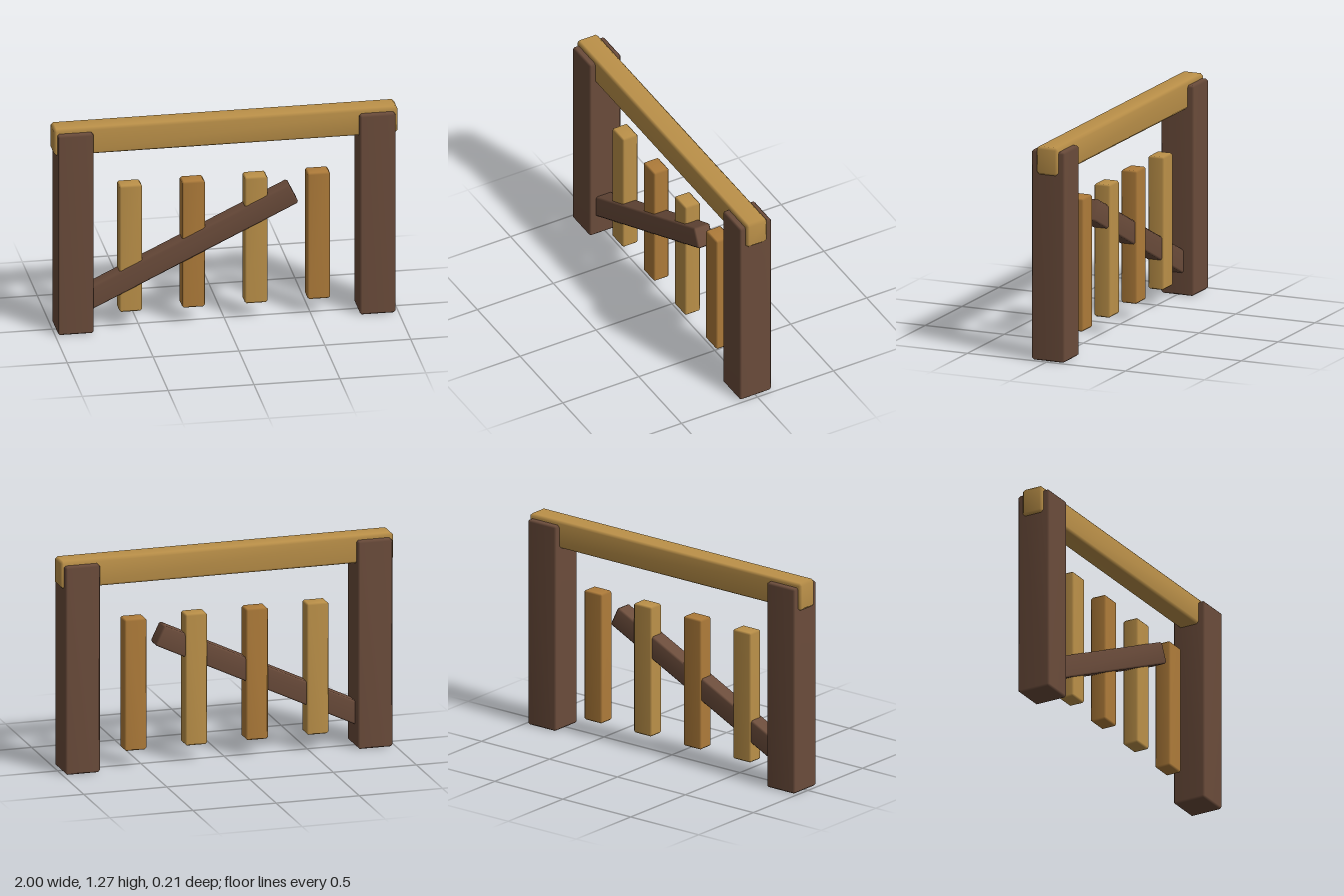
import * as THREE from 'three';
import { ConvexGeometry } from 'three/addons/geometries/ConvexGeometry.js';
import { mergeVertices } from 'three/addons/utils/BufferGeometryUtils.js';

// Box with chamfered edges; area-weighted normals blend the chamfers softly
function chamferBox(w, h, d, c) {
  const pts = [];
  for (const x of [-1, 1]) for (const y of [-1, 1]) for (const z of [-1, 1]) {
    const X = w / 2, Y = h / 2, Z = d / 2;
    pts.push(
      new THREE.Vector3(x * X, y * (Y - c), z * (Z - c)),
      new THREE.Vector3(x * (X - c), y * Y, z * (Z - c)),
      new THREE.Vector3(x * (X - c), y * (Y - c), z * Z));
  }
  const geo = new ConvexGeometry(pts);
  geo.deleteAttribute('normal');
  const merged = mergeVertices(geo, 1e-4);
  merged.computeVertexNormals();
  return merged;
}

export function createModel() {
  const group = new THREE.Group();
  const darkWood = new THREE.MeshStandardMaterial({ color: 0x6b4c3b });
  const lightWood = new THREE.MeshStandardMaterial({ color: 0xbc9149 });
  const amberWood = new THREE.MeshStandardMaterial({ color: 0xaf7c3a });

  function plank(name, size, chamfer, position, material) {
    const mesh = new THREE.Mesh(chamferBox(...size, chamfer), material);
    mesh.name = name;
    mesh.position.set(...position);
    group.add(mesh);
    return mesh;
  }

  // Upright posts at both ends
  for (const [name, s] of [['leftPost', 1], ['rightPost', -1]]) {
    plank(name, [0.207, 1.242, 0.207], 0.011, [s * 0.879, 0.621, 0], darkWood);
  }

  // Top rail running through the posts
  plank('topRail', [2, 0.165, 0.135], 0.015, [0, 1.185, 0], lightWood);

  // Four hanging pickets in alternating wood tones
  for (let i = 0; i < 4; i++) {
    plank('picket' + (i + 1), [0.132, 0.785, 0.1], 0.01,
      [-0.55 + i * 0.365, 0.488, 0], i % 2 ? amberWood : lightWood);
  }

  // Loose diagonal brace, its lower end set into the right post
  const start = new THREE.Vector2(-0.85, 0.167), end = new THREE.Vector2(0.397, 0.767);
  const along = end.clone().sub(start);
  const brace = plank('brace', [along.length(), 0.127, 0.105], 0.01,
    [(start.x + end.x) / 2, (start.y + end.y) / 2, 0.012], darkWood);
  brace.rotation.z = along.angle();

  return group;
}
